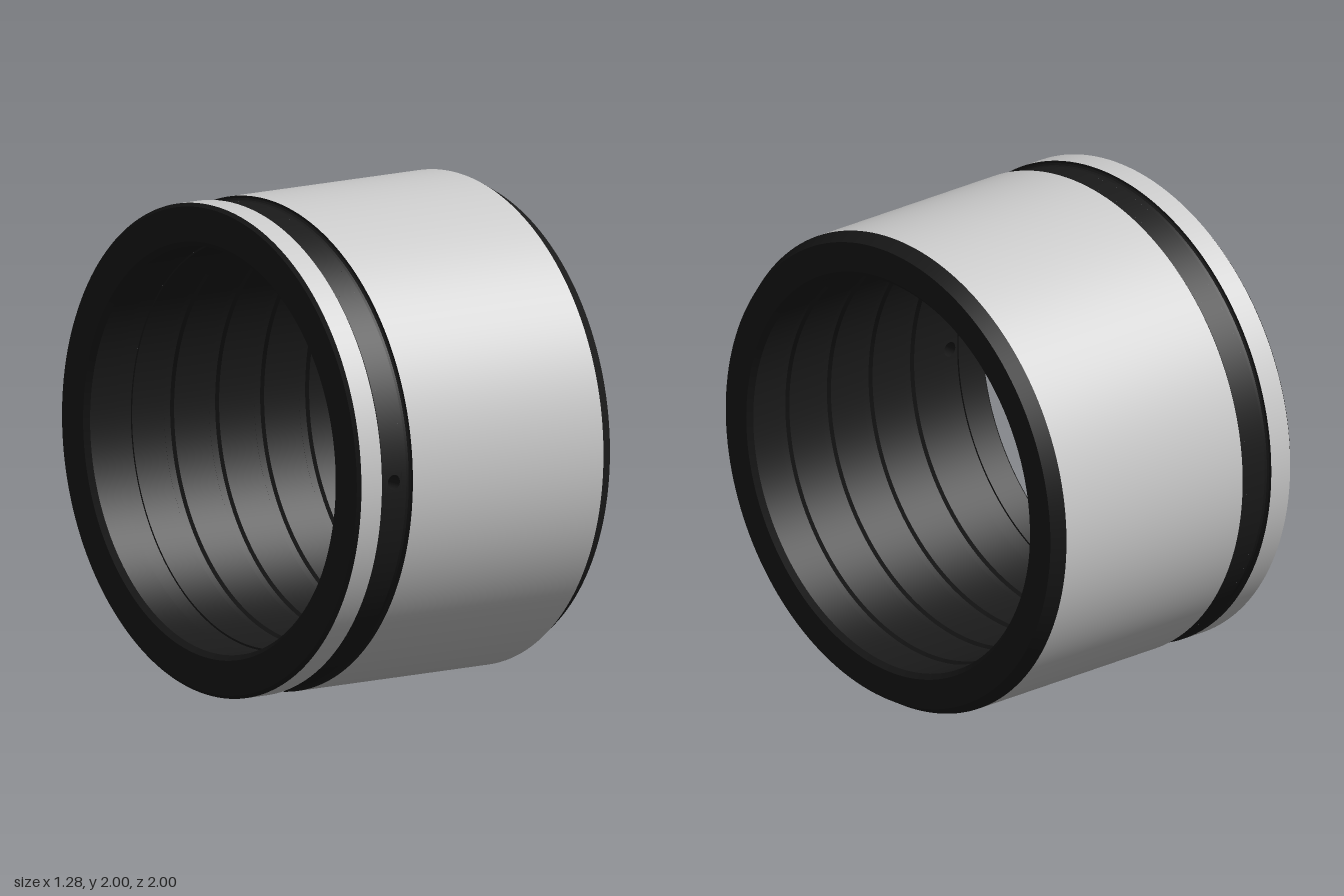
import * as THREE from 'three';
import { mergeGeometries } from 'three/addons/utils/BufferGeometryUtils.js';

const SEG = 160;
const steel = new THREE.MeshStandardMaterial({ color: 0xcccccc });
const black = new THREE.MeshStandardMaterial({ color: 0x1a1a1a });

// Revolve [x, radius] points about the x axis, keeping every profile corner sharp.
// A gap half-width leaves an opening in the wall on the +z side.
function revolve(points, gap = 0) {
  const parts = [];
  for (let i = 0; i + 1 < points.length; i++) {
    const pair = [points[i], points[i + 1]].map(([x, r]) => new THREE.Vector2(r, x));
    const a = gap ? Math.asin(gap / points[i][1]) : 0;
    parts.push(new THREE.LatheGeometry(pair, SEG, a, Math.PI * 2 - 2 * a));
  }
  const g = mergeGeometries(parts);
  g.rotateZ(-Math.PI / 2);
  return g;
}

export function createModel() {
  const model = new THREE.Group();
  const bush = new THREE.Group();
  bush.name = 'bushing';
  bush.position.y = 1;
  model.add(bush);

  const add = (name, geometry, material) => {
    const mesh = new THREE.Mesh(geometry, material);
    mesh.name = name;
    bush.add(mesh);
  };

  const half = 0.64, bore = 0.825, floor = 0.98;
  const holeX = -0.45, patch = 0.04, boreFloor = 0.833;
  const p0 = holeX - patch, p1 = holeX + patch;

  // Ground outer lands
  add('collarLand', revolve([[-0.627, 1], [-0.525, 1]]), steel);
  add('mainLand', revolve([[-0.37, 1], [0.583, 1]]), steel);

  // Outer groove with rounded flanks
  add('outerGrooveLeft', revolve([[-0.525, 1], [-0.522, 0.991], [-0.516, 0.984], [-0.507, floor], [p0, floor]]), black);
  add('outerGrooveFloor', revolve([[p0, floor], [p1, floor]], patch), black);
  add('outerGrooveRight', revolve([[p1, floor], [-0.388, floor], [-0.379, 0.984], [-0.373, 0.991], [-0.37, 1]]), black);

  // Chamfered end faces
  add('rightEnd', revolve([[0.583, 1], [half, 0.967], [half, 0.845], [0.62, bore]]), black);
  add('leftEnd', revolve([[-0.62, bore], [-half, 0.845], [-half, 0.986], [-0.627, 1]]), black);

  // Bore with evenly spaced lubrication grooves
  const profile = [[0.62, bore]];
  for (const x of [0.45, 0.225, 0, -0.225]) {
    profile.push([x + 0.025, bore], [x + 0.015, 0.838], [x - 0.015, 0.838], [x - 0.025, bore]);
  }
  profile.push([p1, bore], [p1, boreFloor]);
  add('bore', revolve(profile), black);
  add('feedGrooveFloor', revolve([[p1, boreFloor], [p0, boreFloor]], patch), black);
  add('boreLeft', revolve([[p0, boreFloor], [p0, bore], [-0.62, bore]]), black);

  // Wall patch pierced by the radial oil hole, curved to follow the wall
  const shape = new THREE.Shape();
  shape.moveTo(-patch, -patch);
  shape.lineTo(patch, -patch);
  shape.lineTo(patch, patch);
  shape.lineTo(-patch, patch);
  shape.closePath();
  shape.holes.push(new THREE.Path().absarc(0, 0, 0.03, 0, Math.PI * 2, true));
  const wall = new THREE.ExtrudeGeometry(shape, { depth: floor - boreFloor, bevelEnabled: false, curveSegments: 24 });
  const pos = wall.attributes.position;
  for (let i = 0; i < pos.count; i++) {
    const r = pos.getZ(i) + boreFloor, y = pos.getY(i);
    pos.setXYZ(i, pos.getX(i) + holeX, y, Math.sqrt(r * r - y * y));
  }
  wall.computeVertexNormals();
  add('oilHoleWall', wall, black);

  return model;
}
